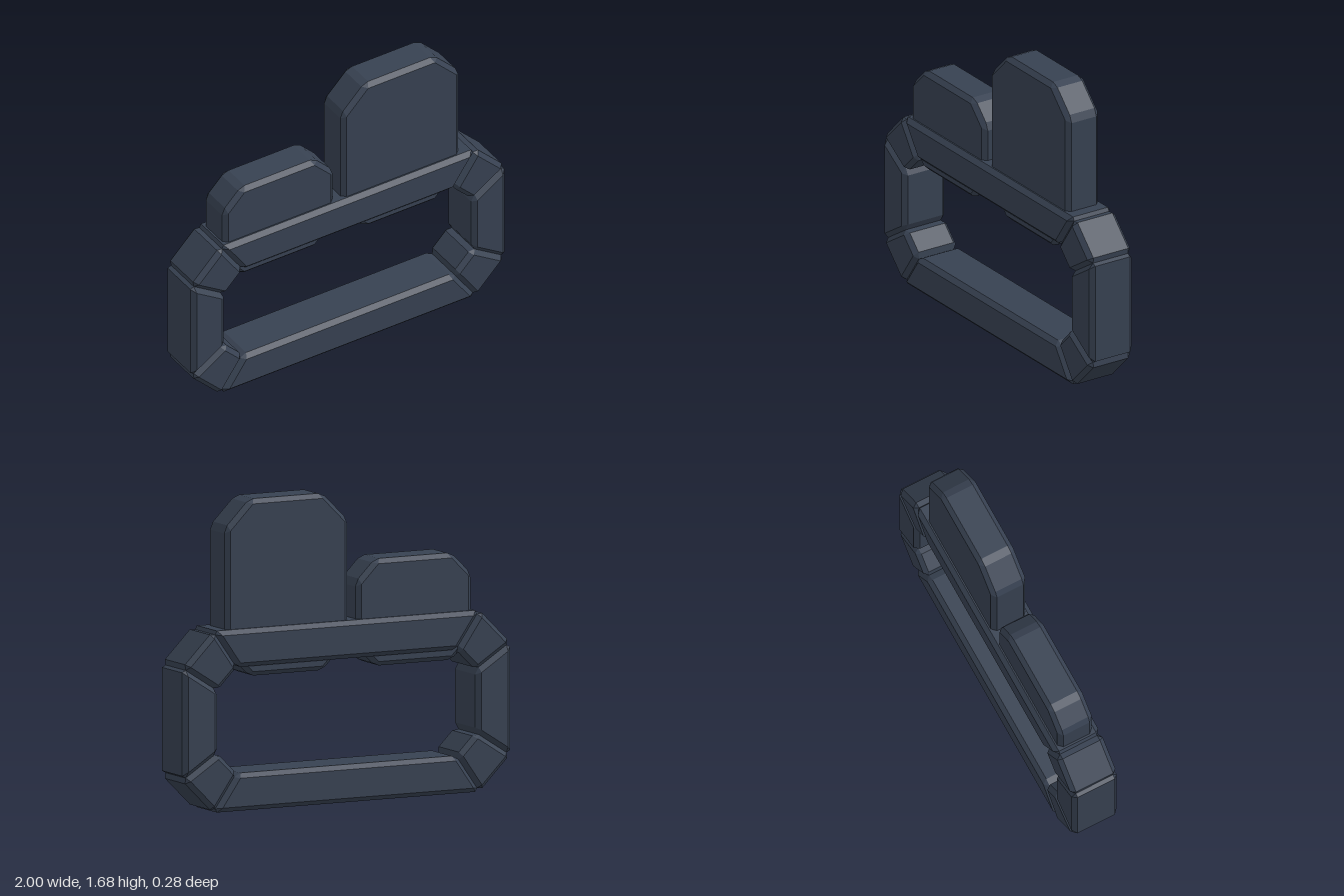
import * as THREE from 'three';
import { ConvexGeometry } from 'three/addons/geometries/ConvexGeometry.js';

const BEVEL = 0.025;
const material = new THREE.MeshStandardMaterial({ color: 0x374151, flatShading: true });

// Convex prism with every edge chamfered; outline runs counterclockwise in x, y.
function bevelledPrism(name, outline, halfDepth) {
  const corners = outline.map(([x, y]) => new THREE.Vector2(x, y));
  const points = [];
  corners.forEach((p, i) => {
    const n = corners.length;
    const a = corners[(i + n - 1) % n].clone().sub(p).normalize();
    const b = corners[(i + 1) % n].clone().sub(p).normalize();
    // The cap corner lies BEVEL away from both neighbouring edges
    const cap = p.clone().addScaledVector(a.clone().add(b), BEVEL / Math.abs(a.cross(b)));
    for (const s of [-1, 1]) {
      points.push(new THREE.Vector3(cap.x, cap.y, s * halfDepth));
      for (const d of [a, b]) {
        const q = p.clone().addScaledVector(d, BEVEL);
        points.push(new THREE.Vector3(q.x, q.y, s * (halfDepth - BEVEL)));
      }
    }
  });
  const mesh = new THREE.Mesh(new ConvexGeometry(points), material);
  mesh.name = name;
  return mesh;
}

// Octagon: a rectangle with its four corners cut
function cutRectangle(x0, x1, y0, y1, c) {
  return [
    [x0 + c, y0], [x1 - c, y0], [x1, y0 + c], [x1, y1 - c],
    [x1 - c, y1], [x0 + c, y1], [x0, y1 - c], [x0, y0 + c],
  ];
}

export function createModel() {
  const model = new THREE.Group();
  model.name = 'ringWithPlates';

  // Ring of eight mitred bars between an outer and an inner octagon
  const ring = new THREE.Group();
  ring.name = 'ring';
  const outer = cutRectangle(-1, 1, 0, 0.985, 0.187);
  const inner = cutRectangle(-0.788, 0.788, 0.205, 0.78, 0.118);
  const names = ['bottomBar', 'bottomLeftCorner', 'leftBar', 'topLeftCorner',
    'topBar', 'topRightCorner', 'rightBar', 'bottomRightCorner'];
  names.forEach((name, i) => {
    const j = (i + 1) % 8;
    ring.add(bevelledPrism(name, [outer[i], outer[j], inner[j], inner[i]], 0.138));
  });
  model.add(ring);

  // Two plates standing through the top bar
  model.add(bevelledPrism('shortPlate', cutRectangle(-0.777, -0.075, 0.722, 1.303, 0.118), 0.105));
  model.add(bevelledPrism('tallPlate', cutRectangle(-0.024, 0.725, 0.722, 1.682, 0.152), 0.105));

  return model;
}
